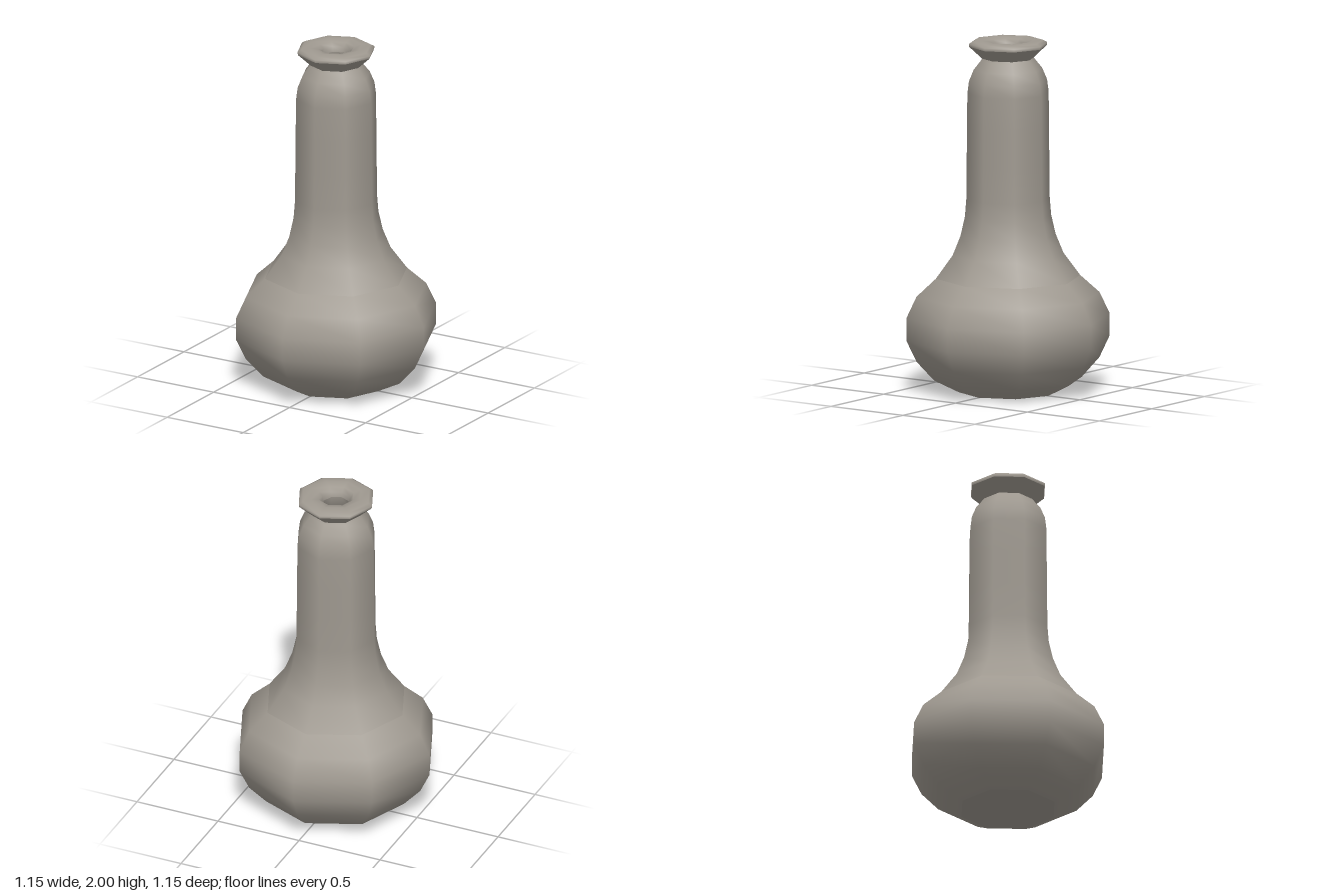
import * as THREE from 'three';

export function createModel() {
  const model = new THREE.Group();
  model.name = 'bottle';
  const clay = new THREE.MeshStandardMaterial({ color: 0xa09a91 });
  clay.name = 'warm grey clay';

  // Each part is an eight-sided turned section; separate parts keep hard seams.
  const turn = (name, profile) => {
    const points = profile.map(([r, y]) => new THREE.Vector2(r, y));
    const mesh = new THREE.Mesh(new THREE.LatheGeometry(points, 8), clay);
    mesh.name = name;
    model.add(mesh);
  };

  // Flat foot
  turn('base', [[0, 0], [0.28, 0]]);

  // Rounded belly
  turn('belly', [
    [0.28, 0], [0.42, 0.07], [0.52, 0.18], [0.577, 0.3],
    [0.577, 0.43], [0.52, 0.55], [0.41, 0.65],
  ]);

  // Sweeping shoulder, tall neck and rounded neck top
  turn('neck', [
    [0.41, 0.65], [0.315, 0.78], [0.27, 0.89], [0.245, 1.0], [0.237, 1.1],
    [0.235, 1.3], [0.233, 1.5], [0.231, 1.7], [0.222, 1.77], [0.195, 1.835],
    [0.155, 1.885], [0.145, 1.9],
  ]);

  // Flared lip, rolling over into the mouth
  turn('lip', [[0.145, 1.895], [0.22, 1.965]]);
  turn('rim', [
    [0.22, 1.965], [0.223, 1.982], [0.2, 1.995], [0.15, 2],
    [0.105, 1.99], [0.082, 1.97], [0.076, 1.94],
  ]);

  // Hollow inside the neck
  turn('mouthHollow', [
    [0.076, 1.94], [0.085, 1.88], [0.14, 1.8], [0.18, 1.7],
    [0.18, 1.1], [0.12, 1.0], [0, 0.96],
  ]);

  return model;
}
